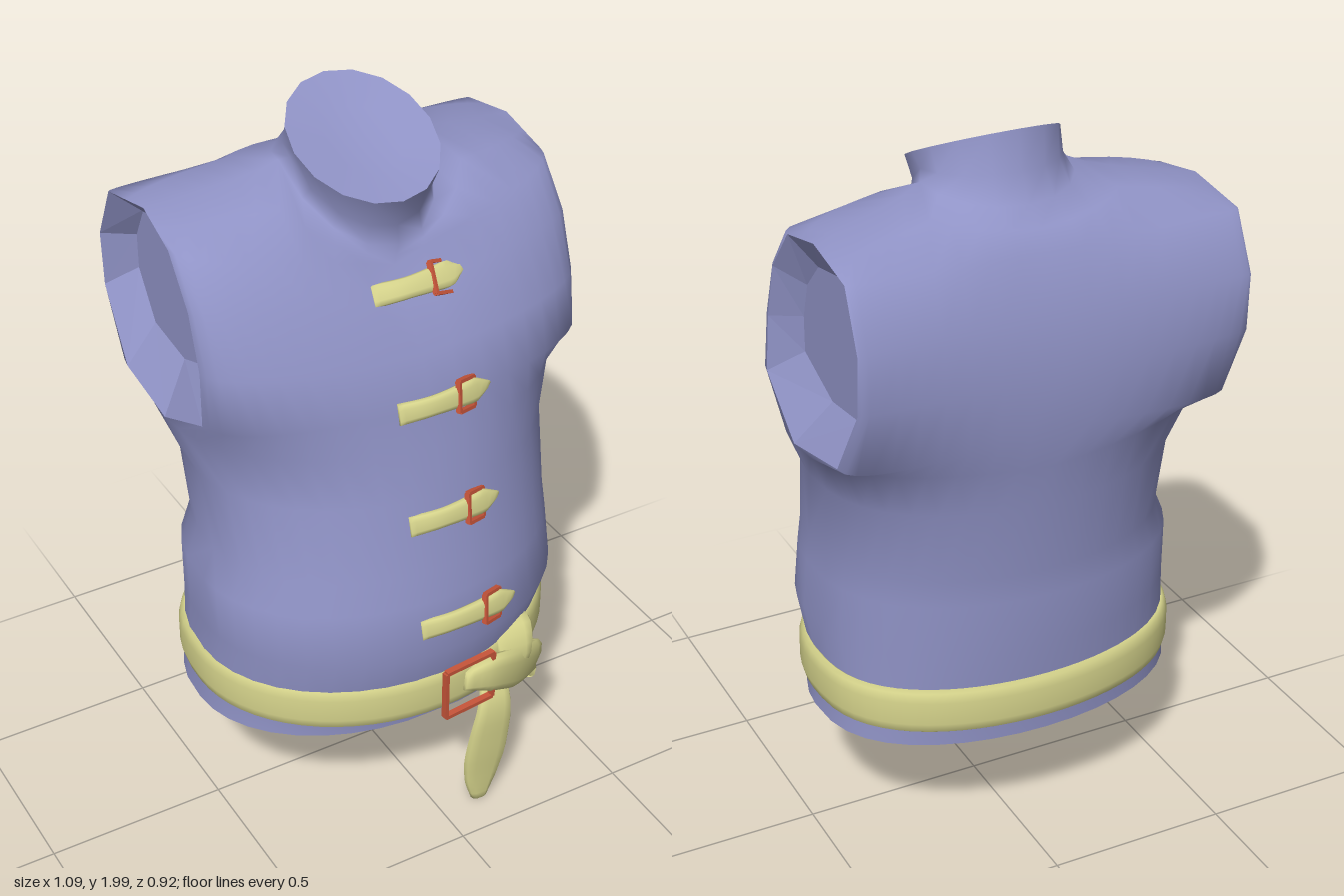
import * as THREE from 'three';
import { mergeVertices } from 'three/addons/utils/BufferGeometryUtils.js';

const mat = (color) => new THREE.MeshStandardMaterial({ color, side: THREE.DoubleSide });
const cloth = mat(0x9093c6), leather = mat(0xd6d48c), metal = mat(0xc8553a);
const V = (x, y, z) => new THREE.Vector3(x, y, z);

// Torso levels: centre y/z of the front, centre y/z of the back,
// side y front/back, half width, x shift, side z front/back
const LEVELS = [
  [0.39, 0.385, 0.37, -0.37, 0.37, 0.37, 0.508, -0.03, 0, 0],
  [0.5, 0.4, 0.5, -0.375, 0.5, 0.5, 0.495, -0.03, 0, 0],
  [0.65, 0.45, 0.65, -0.395, 0.65, 0.65, 0.505, -0.025, 0.05, 0.05],
  [0.8, 0.42, 0.8, -0.395, 0.8, 0.8, 0.5, -0.028, 0.04, 0.04],
  [0.88, 0.4, 0.88, -0.4, 0.88, 0.88, 0.478, -0.012, 0.03, 0.03],
  [1.08, 0.357, 1.08, -0.42, 1.09, 1.09, 0.488, -0.01, -0.02, -0.02],
  [1.2, 0.327, 1.2, -0.44, 1.23, 1.23, 0.546, 0, -0.1, -0.1],
  [1.32, 0.304, 1.32, -0.455, 1.33, 1.26, 0.535, -0.01, 0.12, -0.32],
  [1.45, 0.275, 1.45, -0.455, 1.48, 1.45, 0.53, -0.015, 0.12, -0.43],
  [1.57, 0.187, 1.6, -0.435, 1.63, 1.6, 0.53, -0.018, 0.08, -0.43],
  [1.64, 0.14, 1.74, -0.38, 1.75, 1.75, 0.527, -0.018, -0.02, -0.36],
];
const ARMPIT = 6, NECK = 0.4, COLS = 20;
const US = Array.from({ length: COLS + 1 }, (_, i) => i / COLS * 2 - 1);
const NECK_US = US.filter((u) => Math.abs(u) < NECK + 1e-6);

function levelPoint(L, u, front) {
  const s = Math.sin(u * Math.PI / 2), c = Math.max(0, Math.cos(u * Math.PI / 2));
  const yc = front ? L[0] : L[2], zc = front ? L[1] : L[3];
  const ye = front ? L[4] : L[5], ze = front ? L[8] : L[9];
  return V(L[7] + L[6] * s, yc + (ye - yc) * Math.abs(s) ** 0.8, ze + (zc - ze) * c ** (front ? 1 : 0.75));
}

// Shoulder ridge that opens into the neck ring
function ridgePoint(u, front) {
  const a = Math.abs(u), sg = Math.sign(u);
  if (a > NECK) {
    const t = (a - NECK) / (1 - NECK);
    return V(sg * (0.2 + 0.32 * t) - 0.012 * t, 1.86 - 0.075 * t ** 0.7, -0.11 - 0.07 * t);
  }
  const f = u / NECK * Math.PI / 2, c = Math.cos(f);
  return V(0.2 * Math.sin(f), 1.86 - (front ? 0.175 : 0.03) * c, -0.11 + (front ? 0.24 : -0.18) * c);
}

// Slanted collar rim
function rimPoint(u, front) {
  const f = u / NECK * Math.PI / 2, c = Math.cos(f) * (front ? 1 : -1);
  return V(0.19 * Math.sin(f) - 0.005, 1.91 - 0.09 * c, -0.035 + 0.195 * c);
}

function addQuads(rows, flip, pos, idx) {
  const w = rows[0].length, base = pos.length / 3;
  rows.flat().forEach((p) => pos.push(p.x, p.y, p.z));
  for (let r = 0; r < rows.length - 1; r++) for (let i = 0; i < w - 1; i++) {
    const a = base + r * w + i, b = a + 1, c = a + w, d = c + 1;
    idx.push(...(flip ? [a, c, b, b, c, d] : [a, b, c, b, d, c]));
  }
}

function toGeometry(pos, idx) {
  let g = new THREE.BufferGeometry();
  g.setAttribute('position', new THREE.Float32BufferAttribute(pos, 3));
  g.setIndex(idx);
  g = mergeVertices(g, 1e-4);
  g.computeVertexNormals();
  return g;
}

function torsoGeometry() {
  const pos = [], idx = [];
  for (const front of [true, false]) {
    const rows = LEVELS.map((L) => US.map((u) => levelPoint(L, u, front)));
    const ridge = US.map((u) => ridgePoint(u, front));
    // Rounded shoulder between the last level and the ridge
    const round = rows.at(-1).map((p, i) => {
      const k = 0.016 * Math.sin(Math.PI * Math.abs(US[i]));
      return p.clone().lerp(ridge[i], 0.5).add(V(0, k, front ? k : -k));
    });
    addQuads([...rows, round, ridge], !front, pos, idx);
    const base = NECK_US.map((u) => ridgePoint(u, front)), rim = NECK_US.map((u) => rimPoint(u, front));
    const mid = base.map((p, i) => p.clone().lerp(rim[i], 0.4).sub(V(p.x * 0.06, 0, (p.z + 0.06) * 0.08)));
    addQuads([base, mid, rim], !front, pos, idx);
  }
  return toGeometry(pos, idx);
}

// Shallow panel closing an opening
function panelGeometry(us, edge, apex) {
  const pos = [], idx = [];
  for (const front of [true, false]) {
    const rows = [0, 0.5, 1].map((t) => us.map((u) => edge(u, front).lerp(apex, t)));
    addQuads(rows, !front, pos, idx);
  }
  return toGeometry(pos, idx);
}

// Armhole: faceted rim turned inward, closed by a recessed panel
function armholeGeometry(side) {
  const up = LEVELS.slice(ARMPIT).map((L) => levelPoint(L, side, true));
  const down = LEVELS.slice(ARMPIT + 1).reverse().map((L) => levelPoint(L, side, false));
  const outer = [...up, ridgePoint(side, true), ...down];
  const inner = outer.map((p) => V(side * 0.46, 1.56 + (p.y - 1.56) * 0.64, -0.195 + (p.z + 0.16) * 0.76));
  const pos = [], n = outer.length, mid = V(side * 0.46, 1.54, -0.19);
  const tri = (a, b, c) => (side > 0 ? [a, c, b] : [a, b, c]).forEach((p) => pos.push(p.x, p.y, p.z));
  for (let i = 0; i < n; i++) {
    const j = (i + 1) % n;
    tri(outer[j], outer[i], inner[i]);
    tri(outer[j], inner[i], inner[j]);
    tri(inner[j], inner[i], mid);
  }
  const g = new THREE.BufferGeometry();
  g.setAttribute('position', new THREE.Float32BufferAttribute(pos, 3));
  g.computeVertexNormals();
  return g;
}

// Padded band swept along a path; widths are half widths along the path
function band(points, widths, thick, up, closed = false, steps = 16) {
  const curve = new THREE.CatmullRomCurve3(points, closed);
  const K = 10, pos = [], idx = [], rings = [];
  for (let i = 0; i <= steps; i++) rings.push([i / steps, 1]);
  if (!closed) { rings.unshift([0, 0]); rings.push([1, 0]); }
  for (const [t, scale] of rings) {
    const p = curve.getPoint(t), T = curve.getTangent(t);
    const N = T.clone().cross(up).normalize(), U = N.clone().cross(T);
    const f = t * (widths.length - 1), k = Math.min(Math.floor(f), widths.length - 2);
    const w = THREE.MathUtils.lerp(widths[k], widths[k + 1], f - k) * scale;
    const h = thick * scale * Math.min(1, w / (0.5 * widths[0] * scale || 1));
    for (let j = 0; j < K; j++) {
      const a = j / K * Math.PI * 2, c = Math.cos(a);
      const q = p.clone().addScaledVector(U, w * Math.sign(c) * Math.abs(c) ** 0.6).addScaledVector(N, h * Math.sin(a));
      pos.push(q.x, q.y, q.z);
    }
  }
  for (let i = 0; i < rings.length - 1; i++) for (let j = 0; j < K; j++) {
    const a = i * K + j, b = i * K + (j + 1) % K;
    idx.push(a, b, a + K, b, b + K, a + K);
  }
  return toGeometry(pos, idx);
}

// Square wire buckle
function buckle(w, h, bar) {
  const g = new THREE.Group();
  g.name = 'buckle';
  const add = (name, sx, sy, x, y) => {
    const m = new THREE.Mesh(new THREE.BoxGeometry(sx, sy, bar * 1.6), metal);
    m.position.set(x, y, 0);
    m.name = name;
    g.add(m);
  };
  for (const s of [-1, 1]) {
    add('buckleSide', bar, h, s * w / 2, 0);
    add('buckleRail', w, bar, 0, s * h / 2);
  }
  return g;
}

export function createModel() {
  const model = new THREE.Group();
  const add = (name, geometry, material) => {
    const m = new THREE.Mesh(geometry, material);
    m.name = name;
    model.add(m);
  };
  add('torso', torsoGeometry(), cloth);
  add('leftArmhole', armholeGeometry(1), cloth);
  add('rightArmhole', armholeGeometry(-1), cloth);
  add('neckPanel', panelGeometry(NECK_US, rimPoint, V(0, 1.885, -0.04)), cloth);
  add('hemPanel', panelGeometry(US, (u, front) => levelPoint(LEVELS[0], u, front), V(-0.02, 0.43, 0)), cloth);

  // Chest straps: height, depth, backward lean, x shift
  for (const [y, z, lean, dx] of [[1.595, 0.178, 0.6, 0], [1.325, 0.308, 0.2, 0], [1.02, 0.366, 0.22, 0], [0.73, 0.43, 0.18, 0.02]]) {
    const path = [V(-0.1, y - 0.005, z - 0.005), V(-0.02, y, z + 0.008), V(0.08 + dx, y, z + 0.002), V(0.17 + dx, y, z - 0.015)];
    add('chestStrap', band(path, [0.03, 0.028, 0.027, 0.03, 0.036, 0.004], 0.014, V(0, Math.cos(lean), -Math.sin(lean))), leather);
    const b = buckle(0.06, 0.08, 0.009);
    b.position.set(0.09 + dx, y, z + 0.003);
    b.rotation.set(-lean, 0.4, -0.1);
    model.add(b);
  }

  // Belt around the hem
  const beltLevel = [0.485, 0.408, 0.485, -0.383, 0.485, 0.485, 0.498, -0.025, 0, 0];
  const loop = [];
  for (let i = 0; i < 32; i++) {
    const a = i / 32 * 4;
    loop.push(a < 2 ? levelPoint(beltLevel, a - 1, true) : levelPoint(beltLevel, 3 - a, false));
  }
  add('belt', band(loop, [0.066, 0.066], 0.018, V(0, 1, 0), true, 64), leather);
  const big = buckle(0.155, 0.15, 0.011);
  big.position.set(0.05, 0.48, 0.428);
  big.rotation.y = 0.1;
  model.add(big);

  // Knot: loop over the belt, crossing strand and hanging tail
  add('knotLoop', band([V(0.2, 0.4, 0.375), V(0.215, 0.5, 0.395), V(0.22, 0.565, 0.36), V(0.22, 0.56, 0.315), V(0.22, 0.48, 0.31), V(0.21, 0.38, 0.32)],
    [0.05, 0.055, 0.065, 0.06, 0.055, 0.05], 0.018, V(1, 0, 0)), leather);
  add('knotStrand', band([V(0.04, 0.49, 0.415), V(0.13, 0.48, 0.418), V(0.235, 0.435, 0.385), V(0.315, 0.385, 0.325), V(0.25, 0.365, 0.305)],
    [0.03, 0.06, 0.07, 0.055, 0.04], 0.022, V(0.4, 1, 0)), leather);
  add('beltTail', band([V(0.175, 0.42, 0.35), V(0.16, 0.34, 0.39), V(0.14, 0.21, 0.393), V(0.127, 0.09, 0.386), V(0.122, 0.008, 0.383)],
    [0.04, 0.048, 0.064, 0.068, 0.05, 0.024], 0.014, V(1, 0, 0)), leather);
  return model;
}
